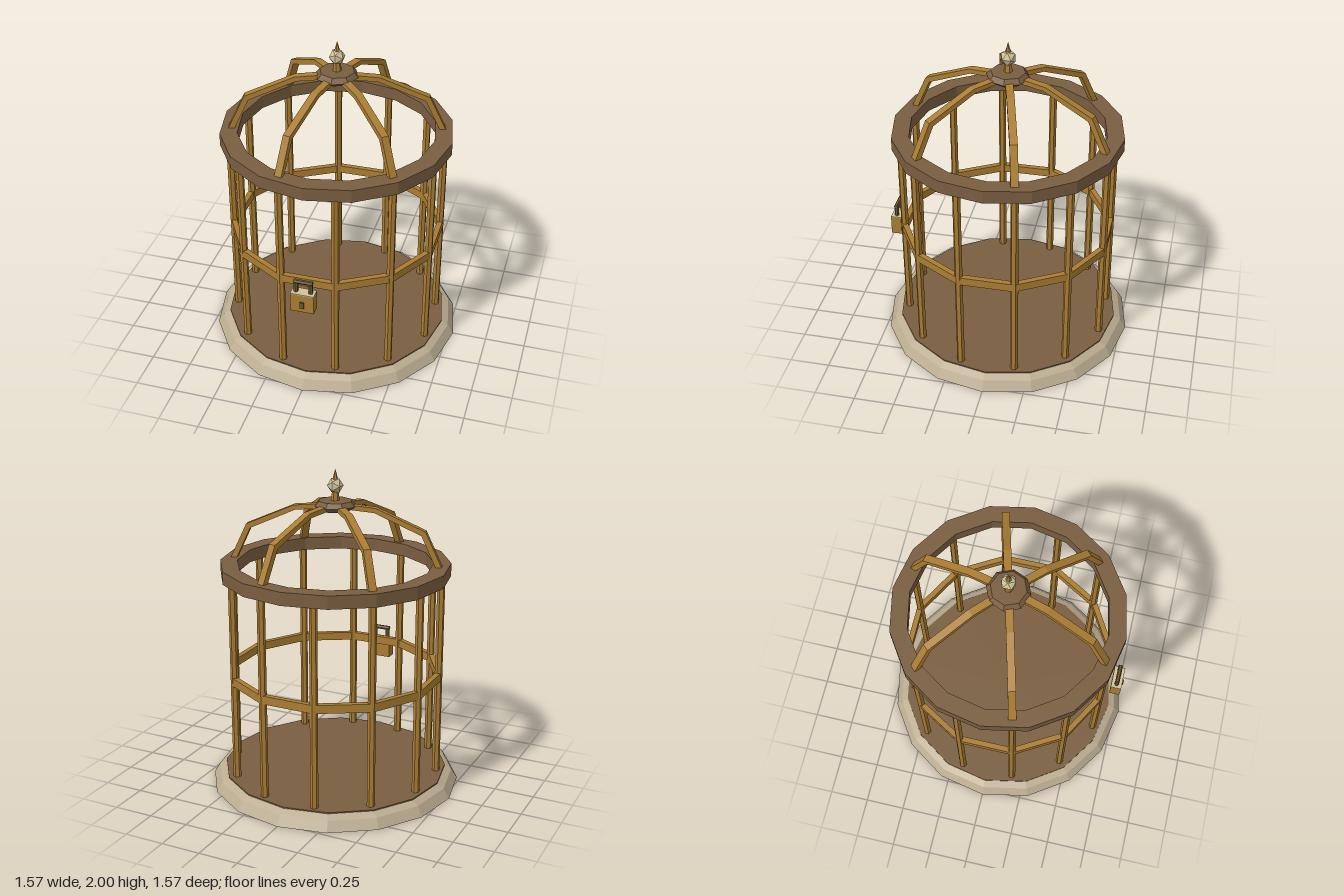
import * as THREE from 'three';

const V = (x, y) => new THREE.Vector2(x, y);
const mat = (name, color, side = THREE.FrontSide) =>
  new THREE.MeshStandardMaterial({ name, color, side, flatShading: true });

export function createModel() {
  const gold = mat('gold', 0xaa7d33);
  const wood = mat('brownWood', 0x795e40);
  const stone = mat('paleStone', 0xbcad92, THREE.DoubleSide);
  const cream = mat('cream', 0xd0c498);
  const iron = mat('darkMetal', 0x6b5630);

  const model = new THREE.Group();
  model.name = 'birdcage';
  const add = (name, geometry, material, x = 0, y = 0, z = 0, parent = model) => {
    const mesh = new THREE.Mesh(geometry, material);
    mesh.name = name;
    mesh.position.set(x, y, z);
    parent.add(mesh);
    return mesh;
  };
  const lathe = (points, sides, start = 0) =>
    new THREE.LatheGeometry(points.map(p => V(...p)), sides, start);
  // Closed rectangular hoop
  const hoop = (rIn, rOut, y0, y1, sides, start = 0) =>
    lathe([[rIn, y0], [rOut, y0], [rOut, y1], [rIn, y1], [rIn, y0]], sides, start);

  // Base: hollow bevelled skirt and floor disc
  add('baseSkirt', lathe([[0.785, 0], [0.748, 0.06], [0.695, 0.09]], 16), stone);
  add('floor', new THREE.CylinderGeometry(0.705, 0.705, 0.012, 16), wood, 0, 0.086, 0);

  // Upright bars
  const bar = new THREE.CylinderGeometry(0.024, 0.024, 1.29, 6);
  for (let i = 0; i < 12; i++) {
    const a = THREE.MathUtils.degToRad(15 + 30 * i);
    add('bar', bar, gold, 0.65 * Math.cos(a), 0.735, 0.65 * Math.sin(a));
  }

  // Hoops
  add('middleBand', hoop(0.635, 0.67, 0.703, 0.755, 12, Math.PI / 12), gold);
  add('upperRing', hoop(0.6, 0.705, 1.35, 1.43, 16), wood);

  // Dome ribs: bent flat strips extruded across their width
  const ribShape = new THREE.Shape([
    [0.67, 1.39], [0.55, 1.645], [0.25, 1.775], [0.08, 1.79],
    [0.08, 1.76], [0.24, 1.747], [0.525, 1.62], [0.632, 1.39],
  ].map(p => V(...p)));
  const rib = new THREE.ExtrudeGeometry(ribShape, { depth: 0.046, bevelEnabled: false });
  rib.translate(0, 0, -0.023);
  for (let i = 0; i < 6; i++) {
    add('domeRib', rib, gold).rotation.y = THREE.MathUtils.degToRad(15 + 60 * i);
  }

  // Crown hub and finial
  add('crownHub', lathe([[0, 1.735], [0.09, 1.75], [0.13, 1.78], [0.105, 1.81], [0, 1.812]], 8), wood);
  add('finialStem', new THREE.CylinderGeometry(0.018, 0.028, 0.07, 6), gold, 0, 1.838, 0);
  add('finialBall', new THREE.IcosahedronGeometry(0.05, 0), cream, 0, 1.9, 0);
  add('finialTip', new THREE.ConeGeometry(0.018, 0.065, 6), gold, 0, 1.9675, 0);

  // Padlock
  const lock = new THREE.Group();
  lock.name = 'padlock';
  lock.position.z = 0.718;
  model.add(lock);
  add('lockBody', new THREE.BoxGeometry(0.144, 0.12, 0.066), gold, 0, 0.65, 0, lock);
  add('lockTopPlate', new THREE.BoxGeometry(0.144, 0.006, 0.066), cream, 0, 0.713, 0, lock);
  add('keyhole', new THREE.BoxGeometry(0.026, 0.042, 0.012), iron, 0, 0.643, 0.036, lock);
  for (const s of [-1, 1]) {
    add('shackleLeg', new THREE.CylinderGeometry(0.014, 0.014, 0.075, 6), iron, s * 0.045, 0.748, 0, lock);
  }
  add('shackleTop', new THREE.CylinderGeometry(0.014, 0.014, 0.116, 6), iron, 0, 0.786, 0, lock)
    .rotation.z = Math.PI / 2;

  return model;
}
